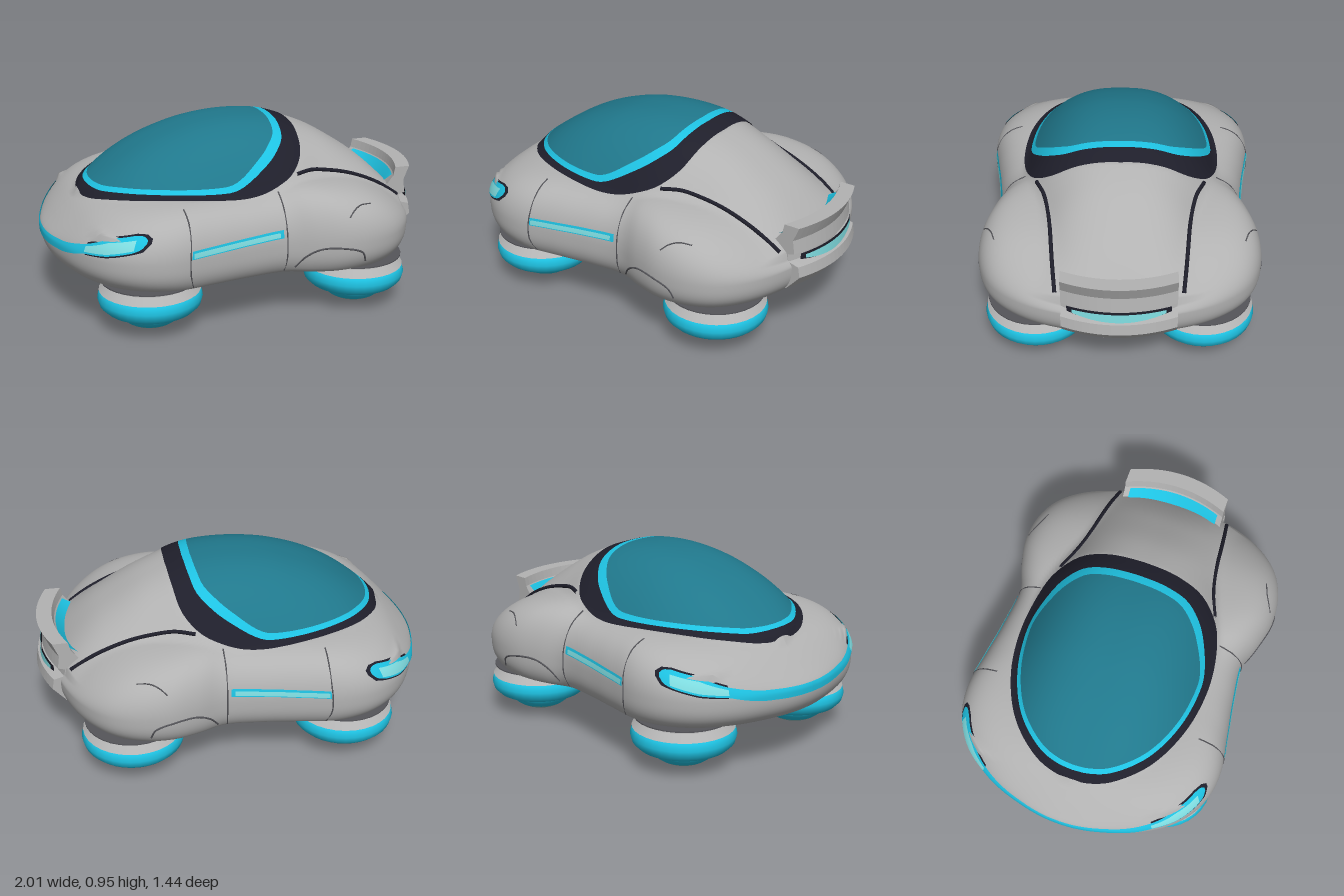
import * as THREE from 'three';

const mat = (name, color) => new THREE.MeshStandardMaterial({ name, color, side: THREE.DoubleSide });

// Lookup through a few points [x, y] with rising x
const lookup = (table) => (x) => {
  if (x <= table[0][0]) return table[0][1];
  for (let i = 1; i < table.length; i++) {
    const [x0, y0] = table[i - 1], [x1, y1] = table[i];
    if (x <= x1) return y0 + (y1 - y0) * (x - x0) / (x1 - x0 || 1);
  }
  return table[table.length - 1][1];
};
const sample = (pts, n = 160) =>
  new THREE.CatmullRomCurve3(pts.map(([x, y]) => new THREE.Vector3(x, y, 0))).getPoints(n).map((p) => [p.x, p.y]);
const polar = (samples, cx = 0) =>
  lookup(samples.map(([x, z]) => [Math.atan2(z, x - cx), Math.hypot(x - cx, z)]).reverse());

// Plan outlines (half), nose at -x
const bodyOutline = sample([[-1, 0], [-0.996, 0.08], [-0.975, 0.2], [-0.91, 0.4], [-0.8, 0.57], [-0.66, 0.67], [-0.5, 0.705],
  [-0.3, 0.68], [-0.1, 0.65], [0.12, 0.635], [0.25, 0.68], [0.4, 0.715], [0.56, 0.7], [0.7, 0.63], [0.82, 0.48], [0.9, 0.25],
  [0.92, 0]]);
const bodyRadius = polar(bodyOutline);
const bodyHalfWidth = lookup(bodyOutline);
const canopyX = -0.25;
const canopyRadius = polar(sample([[-0.81, 0], [-0.803, 0.08], [-0.76, 0.2], [-0.62, 0.36], [-0.4, 0.47], [-0.15, 0.51],
  [0.05, 0.49], [0.18, 0.44], [0.27, 0.34], [0.3, 0.2], [0.31, 0]]), canopyX);

// Heights along the car and cabin half width
const shoulder = lookup(sample([[-1, 0.49], [-0.9, 0.57], [-0.8, 0.625], [-0.6, 0.655], [0, 0.665], [0.2, 0.69],
  [0.4, 0.68], [0.6, 0.645], [0.8, 0.565], [0.92, 0.47]]));
const roof = lookup(sample([[-1, 0.4], [-0.9, 0.52], [-0.82, 0.61], [-0.75, 0.665], [-0.6, 0.77], [-0.48, 0.835],
  [-0.35, 0.885], [-0.2, 0.925], [0, 0.945], [0.2, 0.93], [0.3, 0.9], [0.45, 0.84], [0.6, 0.75], [0.7, 0.68], [0.8, 0.59],
  [0.92, 0.46]]));
const cabinHalfWidth = lookup(sample([[-0.82, 0.03], [-0.75, 0.22], [-0.62, 0.37], [-0.4, 0.47], [-0.15, 0.505],
  [0.1, 0.5], [0.25, 0.46], [0.4, 0.41], [0.6, 0.37], [0.92, 0.31]]));
const WAIST = 0.42, FLOOR = 0.26;

// Height of the upper skin: fenders blended with the cabin dome
function skin(x, z) {
  const r = Math.min(1, Math.hypot(x, z) / bodyRadius(Math.atan2(Math.abs(z), x)));
  const s = shoulder(x);
  const fender = WAIST + Math.max(0, s - WAIST) * Math.sqrt(1 - r ** 7);
  const base = s - 0.04;
  const dome = base + (roof(x) - base) * Math.max(-1, 1 - (Math.abs(z) / cabinHalfWidth(x)) ** 2.6);
  if (x < -0.82 || r > 0.97) return fender;
  const h = Math.max(0, 1 - Math.abs(fender - dome) / 0.03);
  return Math.max(fender, dome) + h * h * 0.0075;
}

// Point on the flank at length x and height y, on side +1 or -1
function flank(x, y, side, lift = 0.006) {
  const w = bodyHalfWidth(x);
  let r = 1;
  if (y < WAIST) r = 1 - 0.08 * ((WAIST - y) / (WAIST - FLOOR)) ** 3;
  else for (let i = 0; i < 3; i++) r = (1 - Math.min(0.98, (y - WAIST) / (shoulder(x * r) - WAIST)) ** 2) ** (1 / 7);
  r += lift / Math.hypot(x, w);
  return new THREE.Vector3(x * r, y, w * r * side);
}

// Grid surface from a function of (u, v)
function surface(nu, nv, fn) {
  const pos = [], index = [];
  for (let j = 0; j <= nv; j++) for (let i = 0; i <= nu; i++) pos.push(...fn(i / nu, j / nv));
  for (let j = 0; j < nv; j++) for (let i = 0; i < nu; i++) {
    const a = j * (nu + 1) + i, b = a + nu + 1;
    index.push(a, b, a + 1, b, b + 1, a + 1);
  }
  const g = new THREE.BufferGeometry();
  g.setAttribute('position', new THREE.Float32BufferAttribute(pos, 3));
  g.setIndex(index);
  g.computeVertexNormals();
  return g;
}

export function createModel() {
  const car = new THREE.Group();
  car.name = 'hoverCar';
  const grey = mat('bodyGrey', 0xb2b2b2), glass = mat('tealGlass', 0x20788c), cyan = mat('cyan', 0x1ec2e2);
  const dark = mat('darkTrim', 0x1f1f2b), lamp = mat('paleLamp', 0x80dee2), cap = mat('paleTeal', 0x7cbcb8);
  const seamGrey = mat('seamGrey', 0x55555a);
  const add = (name, geometry, material, parent = car) => {
    const m = new THREE.Mesh(geometry, material);
    m.name = name;
    parent.add(m);
    return m;
  };

  // Body shell: floor, flanks, then the upper skin
  const low = 12, high = 48, rows = low + high;
  add('bodyShell', surface(160, rows, (u, v) => {
    const a = (u * 2 - 1) * Math.PI, R = bodyRadius(Math.abs(a)), k = Math.round(v * rows);
    let r, y;
    if (k < low) {
      y = FLOOR + (WAIST - FLOOR) * Math.max(0, k - 1) / (low - 1);
      r = k === 0 ? 0 : k === 1 ? 0.9 : 1 - 0.08 * ((WAIST - y) / (WAIST - FLOOR)) ** 3;
    } else r = Math.cos((k - low) / high * Math.PI / 2);
    const x = Math.cos(a) * R * r, z = Math.sin(a) * R * r;
    if (k >= low) {
      const f = Math.hypot(x - canopyX, z) / canopyRadius(Math.atan2(Math.abs(z), x - canopyX));
      y = skin(x, z) - 0.04 * THREE.MathUtils.smoothstep(1 - f, 0.02, 0.1);
    }
    return [x, y, z];
  }), grey);

  // Canopy: glass, bright rim and dark frame in concentric bands, broader at the rear
  const rear = (a) => THREE.MathUtils.smoothstep(Math.cos(a), 0.2, 0.8);
  const rimOuter = (a) => 0.935 - 0.09 * rear(a), rimInner = (a) => rimOuter(a) - 0.04 - 0.035 * rear(a);
  const band = (name, f0, f1, n, material) => add(name, surface(120, n, (u, v) => {
    const a = (u * 2 - 1) * Math.PI, d = canopyRadius(Math.abs(a)) * (f0(a) + (f1(a) - f0(a)) * v);
    const x = canopyX + Math.cos(a) * d, z = Math.sin(a) * d;
    return [x, skin(x, z) + 0.006, z];
  }), material);
  band('canopyGlass', () => 0, rimInner, 24, glass);
  band('canopyRim', rimInner, rimOuter, 3, cyan);
  band('canopyFrame', rimOuter, () => 1.005, 6, dark);

  const line = (name, points, radius, material) =>
    add(name, new THREE.TubeGeometry(new THREE.CatmullRomCurve3(points), 40, radius, 6), material);
  // Strip along the flank from stations [x, yLow, yHigh]
  const strip = (name, stations, side, material, lift) => {
    const lo = lookup(stations.map((s) => [s[0], s[1]])), hi = lookup(stations.map((s) => [s[0], s[2]]));
    const x0 = stations[0][0], x1 = stations[stations.length - 1][0];
    add(name, surface(48, 4, (u, v) => {
      const x = x0 + (x1 - x0) * u * u;
      return flank(x, lo(x) + (hi(x) - lo(x)) * v, side, lift).toArray();
    }), material);
  };

  for (const side of [1, -1]) {
    // Trim line running from canopy to tail
    const tail = [[0.22, 0.425], [0.32, 0.385], [0.42, 0.36], [0.52, 0.345], [0.62, 0.335], [0.72, 0.325], [0.84, 0.31]];
    line('tailTrim', tail.map(([x, z]) => new THREE.Vector3(x, skin(x, z * side) + 0.002, z * side)), 0.011, dark);

    // Door seams, arch line and fender crease
    for (const x of [-0.42, 0.1]) {
      const pts = [0.28, 0.35, 0.42, 0.5].map((y) => flank(x, y, side, 0));
      for (const k of [0.91, 0.84, 0.78]) {
        const z = bodyHalfWidth(x) * k;
        pts.push(new THREE.Vector3(x * 0.97, skin(x * 0.97, z), z * side));
      }
      line('doorSeam', pts, 0.0035, seamGrey);
    }
    line('rearArch', [[0.15, 0.3], [0.19, 0.36], [0.26, 0.4], [0.38, 0.4], [0.47, 0.37], [0.5, 0.32]]
      .map(([x, y]) => flank(x, y, side, 0)), 0.005, seamGrey);
    line('fenderCrease', [[0.42, 0.55], [0.47, 0.58], [0.53, 0.595], [0.6, 0.59]]
      .map(([x, y]) => flank(x, y, side, 0)), 0.0035, seamGrey);

    // Door light bar and wraparound headlamps
    strip('doorBarSurround', [[-0.41, 0.437, 0.478], [0.08, 0.464, 0.505]], side, cyan, 0.004);
    strip('doorBarLight', [[-0.4, 0.443, 0.468], [0.06, 0.47, 0.493]], side, lamp, 0.008);
    strip('headlampBezel', [[-0.88, 0.434, 0.492], [-0.8, 0.447, 0.542], [-0.7, 0.477, 0.567], [-0.65, 0.493, 0.567],
      [-0.62, 0.53, 0.55]], side, dark, 0.003);
    strip('headlampSurround', [[-1, 0.385, 0.435], [-0.95, 0.4, 0.45], [-0.88, 0.44, 0.485], [-0.8, 0.455, 0.535],
      [-0.7, 0.485, 0.56], [-0.66, 0.503, 0.56], [-0.64, 0.53, 0.545]], side, cyan, 0.006);
    strip('headlampLight', [[-0.88, 0.45, 0.475], [-0.8, 0.465, 0.518], [-0.69, 0.498, 0.543]], side, lamp, 0.009);
  }

  // Tail block with wing lip, bowed in plan
  const bow = (g) => {
    const p = g.attributes.position;
    for (let i = 0; i < p.count; i++) p.setX(i, p.getX(i) - 0.8 * p.getZ(i) ** 2);
    g.computeVertexNormals();
    return g;
  };
  const slices = (profile, halfWidth) => {
    const shape = new THREE.Shape(profile.map(([x, y]) => new THREE.Vector2(x, y)));
    const g = new THREE.ExtrudeGeometry(shape, { depth: halfWidth * 2, steps: 16, bevelEnabled: false });
    return bow(g.translate(0, 0, -halfWidth));
  };
  add('tailWing', slices([[0.84, 0.53], [0.895, 0.6], [0.905, 0.645], [0.985, 0.645], [0.955, 0.57], [0.965, 0.5],
    [0.93, 0.49], [0.84, 0.49]], 0.28), grey);
  add('rearBumper', slices([[0.84, 0.495], [0.93, 0.495], [0.935, 0.45], [0.99, 0.435], [1, 0.38], [0.93, 0.3], [0.86, 0.27],
    [0.8, 0.28]], 0.28), grey);
  const crescent = (name, halfWidth, x0, y0, x1, y1, material) => add(name, bow(surface(24, 2, (u, v) => {
    const z = (u * 2 - 1) * halfWidth, lift = 0.03 * (z / halfWidth) ** 2;
    return [x0 + (x1 - x0) * v, y0 + (y1 - y0) * v + lift * (1 - v), z];
  })), material);
  crescent('tailLampSurround', 0.25, 0.972, 0.437, 0.972, 0.498, dark);
  crescent('tailLamp', 0.225, 0.979, 0.439, 0.977, 0.487, lamp);
  crescent('wingLight', 0.25, 0.843, 0.54, 0.887, 0.597, cyan);

  // Hover pods
  for (const x of [-0.55, 0.55]) for (const z of [-0.42, 0.42]) {
    const pod = new THREE.Group();
    pod.name = 'hoverPod';
    pod.position.set(x, 0, z);
    car.add(pod);
    add('podSocket', new THREE.CylinderGeometry(0.245, 0.245, 0.006, 32), seamGrey, pod).position.y = FLOOR;
    add('podNeck', new THREE.CylinderGeometry(0.17, 0.17, 0.1, 28), dark, pod).position.y = 0.22;
    const ring = (name, radius, tube, y, material) => {
      const m = add(name, new THREE.TorusGeometry(radius, tube, 12, 36), material, pod);
      m.rotation.x = Math.PI / 2;
      m.position.y = y;
    };
    ring('podRing', 0.195, 0.068, 0.165, cyan);
    ring('podGap', 0.178, 0.008, 0.098, dark);
    add('podTopPlate', new THREE.CylinderGeometry(0.215, 0.255, 0.033, 32), grey, pod).position.y = 0.2225;
    const dome = (name, start, length, material) => {
      const m = add(name, new THREE.SphereGeometry(0.18, 28, 10, 0, Math.PI * 2, start, length), material, pod);
      m.scale.y = 0.7;
      m.position.y = 0.13;
    };
    dome('podDome', Math.PI / 2, Math.PI * 0.26, cyan);
    dome('podLens', Math.PI * 0.76, Math.PI * 0.24, cap);
  }
  return car;
}
